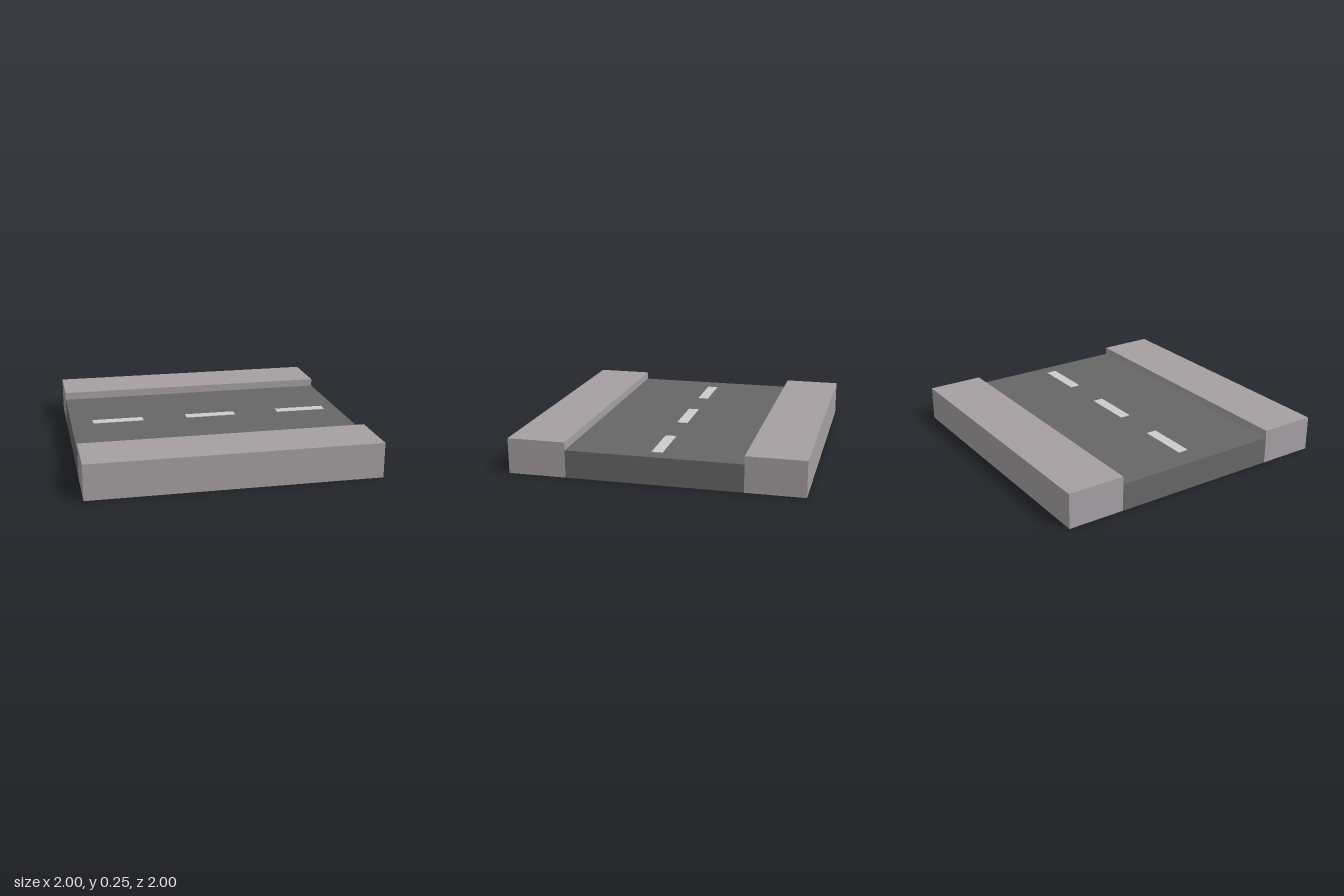
import * as THREE from 'three';

export function createModel() {
  const material = (name, color) => {
    const m = new THREE.MeshStandardMaterial({ color });
    m.name = name;
    return m;
  };
  const pavement = material('pavement', 0xa59fa2);
  const asphalt = material('asphalt', 0x666666);
  const paint = material('linePaint', 0xcccccc);

  const model = new THREE.Group();
  model.name = 'roadTile';

  // Box placed by the centre of its base
  const addBox = (name, mat, [w, h, d], [x, y, z]) => {
    const mesh = new THREE.Mesh(new THREE.BoxGeometry(w, h, d), mat);
    mesh.name = name;
    mesh.position.set(x, y + h / 2, z);
    model.add(mesh);
  };

  // Roadbed, with its underside matching the pavements
  const roadHeight = 0.19;
  addBox('roadbed', [asphalt, asphalt, asphalt, pavement, asphalt, asphalt],
    [2, roadHeight, 1.2], [0, 0, 0]);

  // Raised pavements along the front and back
  for (const [name, side] of [['frontPavement', 1], ['backPavement', -1]]) {
    addBox(name, pavement, [2, 0.245, 0.4], [0, 0, side * 0.8]);
  }

  // Dashed centre line
  [-0.66, 0.025, 0.715].forEach((x, i) => {
    addBox(`laneDash${i + 1}`, paint, [0.366, 0.003, 0.075], [x, roadHeight, -0.002]);
  });

  return model;
}
